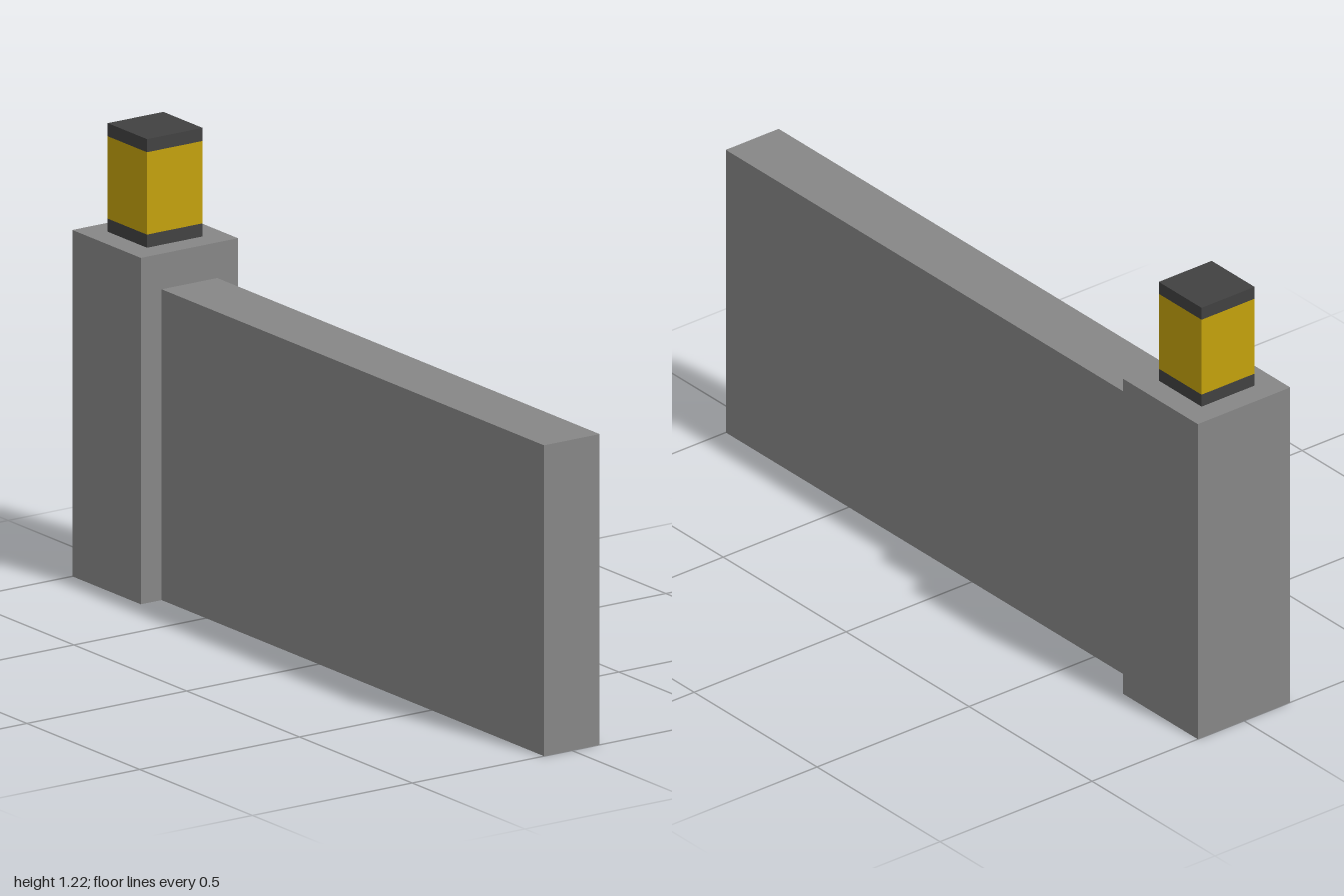
import * as THREE from 'three';

const mat = (name, color, side = THREE.FrontSide) => {
  const m = new THREE.MeshStandardMaterial({ color, side });
  m.name = name;
  return m;
};

// Box given by its width, height span and depth span, centred on x = 0
function block(name, width, [y0, y1], [z0, z1], material, openBottom = false) {
  const geo = new THREE.BoxGeometry(width, y1 - y0, z1 - z0);
  if (openBottom) {
    // Drop the two triangles of the underside
    const index = Array.from(geo.index.array);
    index.splice(18, 6);
    geo.setIndex(index);
    geo.clearGroups();
  }
  geo.translate(0, (y0 + y1) / 2, (z0 + z1) / 2);
  const mesh = new THREE.Mesh(geo, material);
  mesh.name = name;
  return mesh;
}

export function createModel() {
  const concrete = mat('concrete grey', 0x868686, THREE.DoubleSide);
  const lamp = mat('lamp yellow', 0xc3a10c);
  const metal = mat('dark metal', 0x414141);

  const model = new THREE.Group();
  model.name = 'wallWithLampPost';

  // Hollow wall, its end set slightly into the hollow pillar
  model.add(block('wall', 0.174, [0, 0.83], [-0.735, 1], concrete, true));
  model.add(block('pillar', 0.304, [0, 0.925], [-1, -0.696], concrete, true));

  // Lamp: dark base, yellow light and dark cap
  const lantern = new THREE.Group();
  lantern.name = 'lantern';
  const depth = [-0.935, -0.761];
  lantern.add(block('lampBase', 0.174, [0.925, 0.96], depth, metal));
  lantern.add(block('lampLight', 0.174, [0.96, 1.18], depth, lamp));
  lantern.add(block('lampCap', 0.174, [1.18, 1.215], depth, metal));
  model.add(lantern);

  return model;
}
